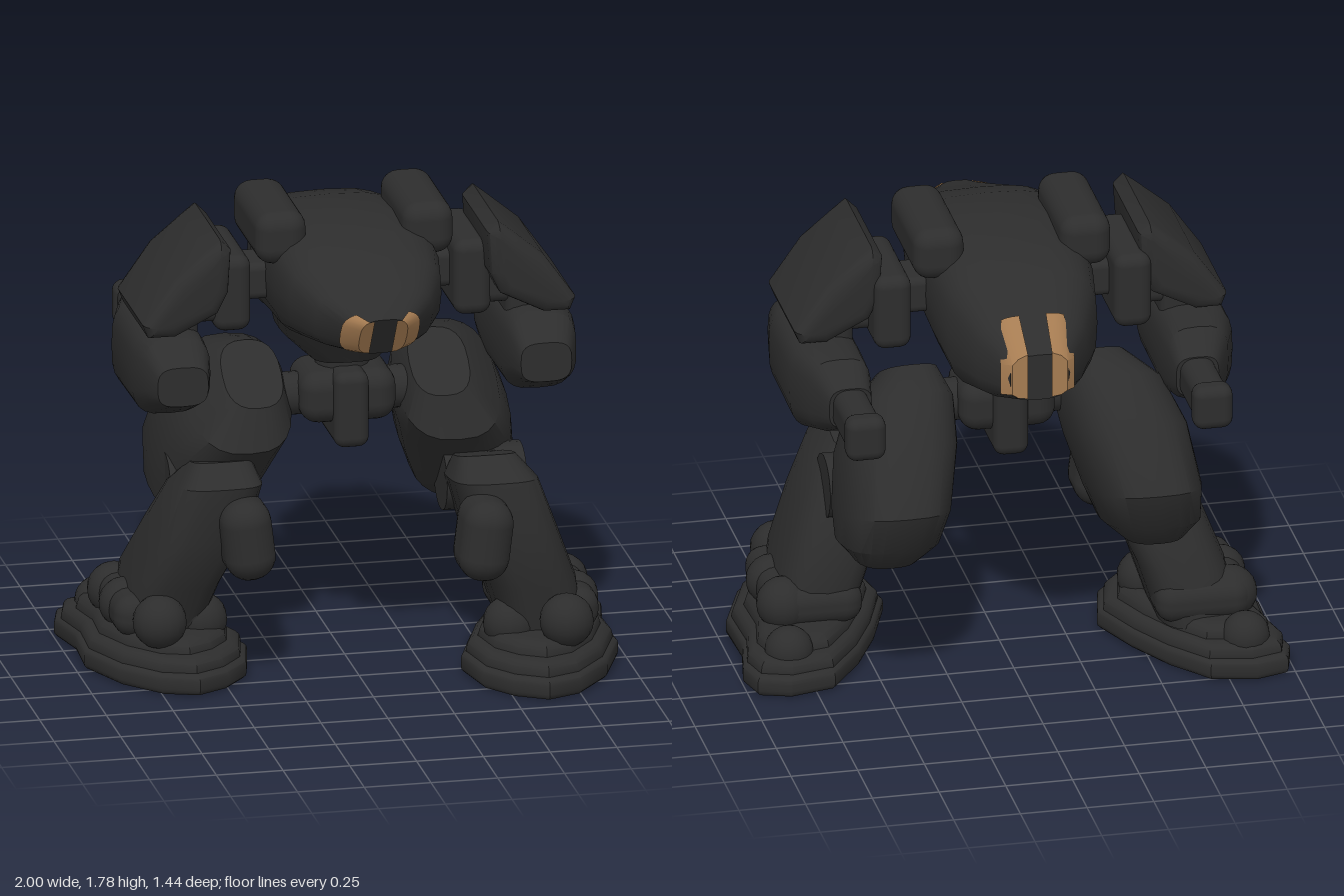
import * as THREE from 'three';
import { toCreasedNormals } from 'three/addons/utils/BufferGeometryUtils.js';
import { RoundedBoxGeometry } from 'three/addons/geometries/RoundedBoxGeometry.js';

const armour = new THREE.MeshStandardMaterial({ color: 0x2d2d2d });
armour.name = 'charcoal armour';
const amber = new THREE.MeshStandardMaterial({ color: 0xa67c52, side: THREE.DoubleSide });
amber.name = 'amber window';

function add(parent, name, geometry, x = 0, y = 0, z = 0, material = armour) {
  const mesh = new THREE.Mesh(geometry, material);
  mesh.name = name;
  mesh.position.set(x, y, z);
  parent.add(mesh);
  return mesh;
}

const box = (w, h, d, r) => new RoundedBoxGeometry(w, h, d, 3, r);

// Point on a rounded-box ring. Section: [centre x, half width, zA, yA, zB, yB], A and B being opposite ends.
function ringPoint([xc, hw, zA, yA, zB, yB], angle, power) {
  const bend = (t) => Math.sign(t) * Math.abs(t) ** power;
  const v = bend(Math.sin(angle)) / 2;
  return [xc + hw * bend(Math.cos(angle)), (yA + yB) / 2 + v * (yA - yB), (zA + zB) / 2 + v * (zA - zB)];
}

// Rings joined into a closed solid
function loft(sections, { sx = 1, power = 0.62 } = {}) {
  const N = 24, pos = [], idx = [];
  for (const section of sections) {
    for (let i = 0; i < N; i++) {
      const [x, y, z] = ringPoint(section, (i / N) * Math.PI * 2, power);
      pos.push(sx * x, y, z);
    }
  }
  const last = sections.length - 1;
  for (let r = 0; r < last; r++) {
    for (let i = 0; i < N; i++) {
      const a = r * N + i, b = r * N + (i + 1) % N;
      idx.push(a, b, a + N, b, b + N, a + N);
    }
  }
  for (const r of [0, last]) {
    const [xc, , zA, yA, zB, yB] = sections[r];
    const c = pos.length / 3;
    pos.push(sx * xc, (yA + yB) / 2, (zA + zB) / 2);
    for (let i = 0; i < N; i++) {
      const a = r * N + i, b = r * N + (i + 1) % N;
      idx.push(...(r === 0 ? [c, b, a] : [c, a, b]));
    }
  }
  // Turn the faces outward whatever the direction of the sections
  let volume = 0;
  const p = (i) => new THREE.Vector3().fromArray(pos, i * 3);
  for (let i = 0; i < idx.length; i += 3) {
    volume += p(idx[i]).dot(p(idx[i + 1]).cross(p(idx[i + 2])));
  }
  if (volume < 0) idx.reverse();
  const geo = new THREE.BufferGeometry();
  geo.setAttribute('position', new THREE.Float32BufferAttribute(pos, 3));
  geo.setIndex(idx);
  return toCreasedNormals(geo, 0.6);
}

// Thin sheet from rows of [x, y, z] points
function sheet(rows, sx) {
  const cols = rows[0].length, idx = [];
  for (let r = 0; r < rows.length - 1; r++) {
    for (let c = 0; c < cols - 1; c++) {
      const a = r * cols + c, b = a + cols;
      idx.push(...(sx > 0 ? [a, b, a + 1, a + 1, b, b + 1] : [a, a + 1, b, a + 1, b + 1, b]));
    }
  }
  const pos = rows.flat().flatMap(([x, y, z]) => [sx * x, y, z]);
  const geo = new THREE.BufferGeometry();
  geo.setAttribute('position', new THREE.Float32BufferAttribute(pos, 3));
  geo.setIndex(idx);
  return toCreasedNormals(geo, 0.6);
}

// Outline extruded with rounded rims
const slab = (points, depth, bevel) => toCreasedNormals(new THREE.ExtrudeGeometry(
  new THREE.Shape(points.map(([x, y]) => new THREE.Vector2(x, y))),
  { depth: depth - 2 * bevel, bevelThickness: bevel, bevelSize: bevel, bevelOffset: -bevel, bevelSegments: 3 }), 0.6);

function torso() {
  const g = new THREE.Group();
  g.name = 'torso';
  const tip = [0, 0.085, 0.72, 1.53, 0.61, 1.365], collar = [0, 0.145, 0.66, 1.545, 0.55, 1.355];
  add(g, 'hull', loft([
    tip, collar, [0, 0.22, 0.54, 1.59, 0.47, 1.345],
    [0, 0.285, 0.38, 1.655, 0.34, 1.33], [0, 0.31, 0.23, 1.7, 0.2, 1.3],
    [0, 0.31, 0, 1.72, 0, 1.28], [0, 0.305, -0.24, 1.7, -0.22, 1.25],
    [0, 0.28, -0.4, 1.665, -0.4, 1.2], [0, 0.205, -0.56, 1.56, -0.55, 1.23],
    [0, 0.11, -0.69, 1.46, -0.69, 1.28]]));
  add(g, 'belly', loft([
    [0, 0.25, 0.24, 1.36, -0.45, 1.36], [0, 0.22, 0.16, 1.25, -0.38, 1.22],
    [0, 0.13, 0.1, 1.16, -0.24, 1.15]]));
  add(g, 'waist', new THREE.CylinderGeometry(0.1, 0.1, 0.24, 20), 0, 1.1, -0.05);
  add(g, 'pelvis', box(0.36, 0.2, 0.3, 0.07), 0, 1.02, -0.04);
  add(g, 'pelvisBlock', box(0.13, 0.29, 0.38, 0.04), 0, 0.985, -0.04);
  const hipBar = add(g, 'hipBar', new THREE.CylinderGeometry(0.08, 0.08, 0.64, 20), 0, 1.01, -0.04);
  hipBar.rotation.z = Math.PI / 2;

  // Nose windows cover the bevelled corners of the tip
  const angles = [-4, -3, -2, -1, 0, 1, 2, 3, 4].map((i) => i * Math.PI / 12);
  const edge = (section) => angles.map((a) => ringPoint(section, a, 0.62))
    .map(([x, y, z]) => [x + 0.004, y, z + 0.005]);
  const noseRows = [edge(tip).map(([, y, z]) => [0.042, y, z]), edge(tip), edge(collar)];
  // Tail windows run down the slope, over the end and round its side
  const tailRows = [
    [[0.05, 1.567, -0.565], [0.08, 1.565, -0.565], [0.1, 1.562, -0.565], [0.118, 1.556, -0.565]],
    [[0.045, 1.467, -0.696], [0.08, 1.453, -0.696], [0.103, 1.43, -0.696], [0.139, 1.42, -0.655]],
    [[0.045, 1.29, -0.696], [0.08, 1.295, -0.696], [0.103, 1.31, -0.696], [0.139, 1.3, -0.655]]];
  for (const sx of [1, -1]) {
    add(g, 'topPod', box(0.19, 0.2, 0.48, 0.065), sx * 0.275, 1.685, -0.025);
    add(g, 'noseWindow', sheet(noseRows, -sx), 0, 0, 0, amber);
    add(g, 'tailWindow', sheet(tailRows, -sx), 0, 0, 0, amber);
  }
  return g;
}

function arm(sx) {
  const g = new THREE.Group();
  g.name = sx > 0 ? 'leftArm' : 'rightArm';
  add(g, 'shoulderLink', box(0.16, 0.14, 0.2, 0.03), sx * 0.34, 1.48, -0.04);
  add(g, 'shoulderJoint', box(0.14, 0.29, 0.42, 0.045), sx * 0.45, 1.47, -0.05);
  add(g, 'shoulderCore', box(0.14, 0.2, 0.28, 0.04), sx * 0.55, 1.46, 0);
  const pad = [[0.48, 1.68], [0.52, 1.72], [0.57, 1.68], [0.69, 1.58], [0.81, 1.41],
    [0.79, 1.36], [0.69, 1.36], [0.53, 1.44], [0.49, 1.52]];
  add(g, 'shoulderPad', slab(pad.map(([x, y]) => [sx * x, y]), 0.52, 0.045), 0, 0, -0.185);
  add(g, 'elbow', box(0.17, 0.2, 0.32, 0.05), sx * 0.66, 1.35, 0);
  add(g, 'forearm', loft([
    [0.68, 0.095, 0.35, 1.27, 0.35, 1.12], [0.685, 0.125, 0.25, 1.35, 0.28, 1.09],
    [0.69, 0.14, 0.15, 1.36, 0.15, 1.03], [0.69, 0.14, -0.2, 1.36, -0.2, 1.02],
    [0.67, 0.115, -0.34, 1.35, -0.33, 1.06], [0.65, 0.08, -0.43, 1.27, -0.42, 1.11]], { sx }));
  add(g, 'barrel', box(0.13, 0.16, 0.32, 0.05), sx * 0.65, 1.185, -0.52);
  add(g, 'muzzle', box(0.148, 0.17, 0.1, 0.04), sx * 0.65, 1.185, -0.67);
  return g;
}

// The right leg stands further back than the left, its shin leaning backward
function leg(sx) {
  const g = new THREE.Group();
  g.name = sx > 0 ? 'leftLeg' : 'rightLeg';
  const footZ = (z) => (sx > 0 ? z : z * 0.9 - 0.25);
  const shinZ = (z, y) => (sx > 0 ? z : z - 0.12 - 0.25 * (0.85 - y));
  add(g, 'thigh', loft([
    [0.35, 0.11, -0.12, 1.2, 0.14, 1.02], [0.39, 0.19, -0.3, 1.17, 0.18, 0.86],
    [0.43, 0.215, -0.47, 1.03, 0.1, 0.77], [0.47, 0.205, -0.6, 0.8, 0.01, 0.64],
    [0.49, 0.18, -0.56, 0.65, -0.07, 0.55], [0.5, 0.12, -0.46, 0.545, -0.12, 0.53]], { sx, power: 0.75 }));
  add(g, 'kneeJoint', new THREE.CylinderGeometry(0.12, 0.12, 0.3, 20),
    sx * 0.5, 0.67, shinZ(0.04, 0.67)).rotation.z = Math.PI / 2;
  add(g, 'shin', loft([
    [0.48, 0.11, 0.09, 0.78, 0.29, 0.83], [0.5, 0.16, 0.02, 0.7, 0.42, 0.76],
    [0.56, 0.17, -0.03, 0.55, 0.46, 0.55], [0.64, 0.165, -0.08, 0.35, 0.43, 0.35],
    [0.69, 0.15, -0.06, 0.14, 0.4, 0.14],
  ].map(([x, hw, zA, yA, zB, yB]) => [x, hw, shinZ(zA, yA), yA, shinZ(zB, yB), yB]), { sx }));
  add(g, 'shinPod', box(0.19, 0.31, 0.26, 0.09), sx * 0.425, 0.57, shinZ(0.44, 0.57)).rotation.z = -sx * 0.12;
  add(g, 'ankle', box(0.36, 0.16, 0.48, 0.07), sx * 0.7, 0.23, footZ(0.15));

  // Lumpy sole under two shrinking insteps
  const sole = [[0.62, 0.69], [0.5, 0.62], [0.41, 0.5], [0.37, 0.3], [0.45, 0.08], [0.55, -0.12],
    [0.68, -0.3], [0.85, -0.34], [0.97, -0.3], [1, -0.18], [0.96, 0.02], [0.97, 0.25], [0.88, 0.48], [0.75, 0.64]];
  for (const [name, k, top, bottom, bevel] of [['sole', 1, 0.08, 0, 0.025],
    ['instep', 0.93, 0.13, 0.03, 0.04], ['upperInstep', 0.78, 0.18, 0.06, 0.05]]) {
    const outline = sole.map(([x, z]) => [sx * (0.69 + (x - 0.69) * k), footZ(0.15 + (z - 0.15) * k)]);
    add(g, name, slab(outline, top - bottom, bevel).rotateX(Math.PI / 2), 0, top - bevel, 0);
  }
  for (const [x, y, z, r] of [[0.73, 0.235, 0.47, 0.1], [0.81, 0.235, 0.2, 0.095], [0.81, 0.23, 0.0, 0.1],
    [0.83, 0.13, -0.19, 0.09], [0.55, 0.19, 0.32, 0.1]]) {
    add(g, 'ankleBall', new THREE.SphereGeometry(r, 18, 12), sx * x, y, footZ(z));
  }
  return g;
}

export function createModel() {
  const model = new THREE.Group();
  model.name = 'walkingMachine';
  model.add(torso());
  for (const sx of [1, -1]) model.add(arm(sx), leg(sx));
  return model;
}
